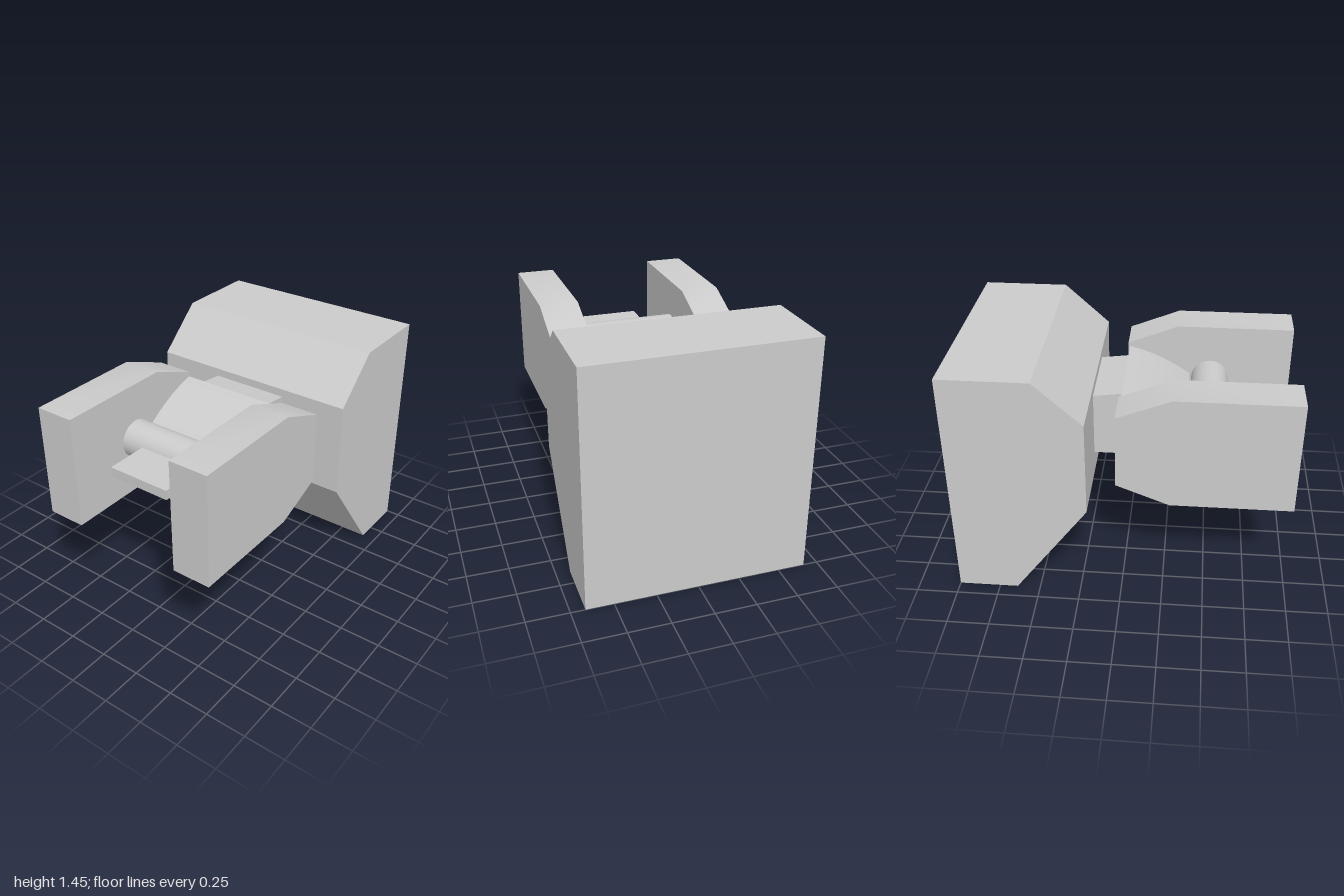
import * as THREE from 'three';
import { toCreasedNormals } from 'three/addons/utils/BufferGeometryUtils.js';

const material = new THREE.MeshStandardMaterial({ color: 0xcccccc });

// Solid with a side profile of [z, y] points, spanning x0..x1
function slab(name, profile, x0, x1) {
  const shape = new THREE.Shape(profile.map(([z, y]) => new THREE.Vector2(z, y)));
  const geometry = new THREE.ExtrudeGeometry(shape, { depth: x1 - x0, bevelEnabled: false });
  geometry.rotateY(-Math.PI / 2).translate(x1, 0, 0);
  const mesh = new THREE.Mesh(toCreasedNormals(geometry, Math.PI / 7), material);
  mesh.name = name;
  return mesh;
}

export function createModel() {
  const model = new THREE.Group();
  model.name = 'model';

  // Large rear block, chamfered towards the front
  model.add(slab('rearBlock', [
    [-1, 0], [-0.64, 0], [-0.195, 0.605], [-0.195, 1.19], [-0.475, 1.445], [-1, 1.445],
  ], -0.665, 0.665));

  // Neck joining the rear block to the crosspiece
  model.add(slab('neck', [
    [-0.2, 0.745], [0, 0.745], [0, 1.165], [-0.2, 1.14],
  ], -0.245, 0.245));

  // Crosspiece between the arms, its curved faces narrowing to the front
  const steps = 12, upper = [], lower = [];
  for (let i = 0; i <= steps; i++) {
    const t = i / steps;
    const z = -0.025 + 0.385 * t;
    const drop = 0.08 * t + 0.1 * t * t;
    upper.push([z, 1.175 - drop]);
    lower.push([z, 0.735 + drop]);
  }
  model.add(slab('crosspiece', [...lower, ...upper.reverse()], -0.345, 0.345));

  // Roller between the arms
  const roller = new THREE.Mesh(new THREE.CylinderGeometry(0.117, 0.117, 0.69, 32), material);
  roller.name = 'roller';
  roller.rotation.z = Math.PI / 2;
  roller.position.set(0, 0.975, 0.49);
  model.add(roller);

  // Flat tab sticking out of the roller
  const tab = new THREE.Mesh(new THREE.BoxGeometry(0.4, 0.06, 0.375), material);
  tab.name = 'tab';
  tab.position.set(0, 0.98, 0.677);
  model.add(tab);

  // Side arms, tapered at the rear
  const arm = [
    [-0.035, 0.75], [0.28, 0.625], [1, 0.625], [1, 1.325], [0.28, 1.325], [-0.035, 1.2],
  ];
  model.add(slab('leftArm', arm, 0.345, 0.585));
  model.add(slab('rightArm', arm, -0.585, -0.345));

  return model;
}
